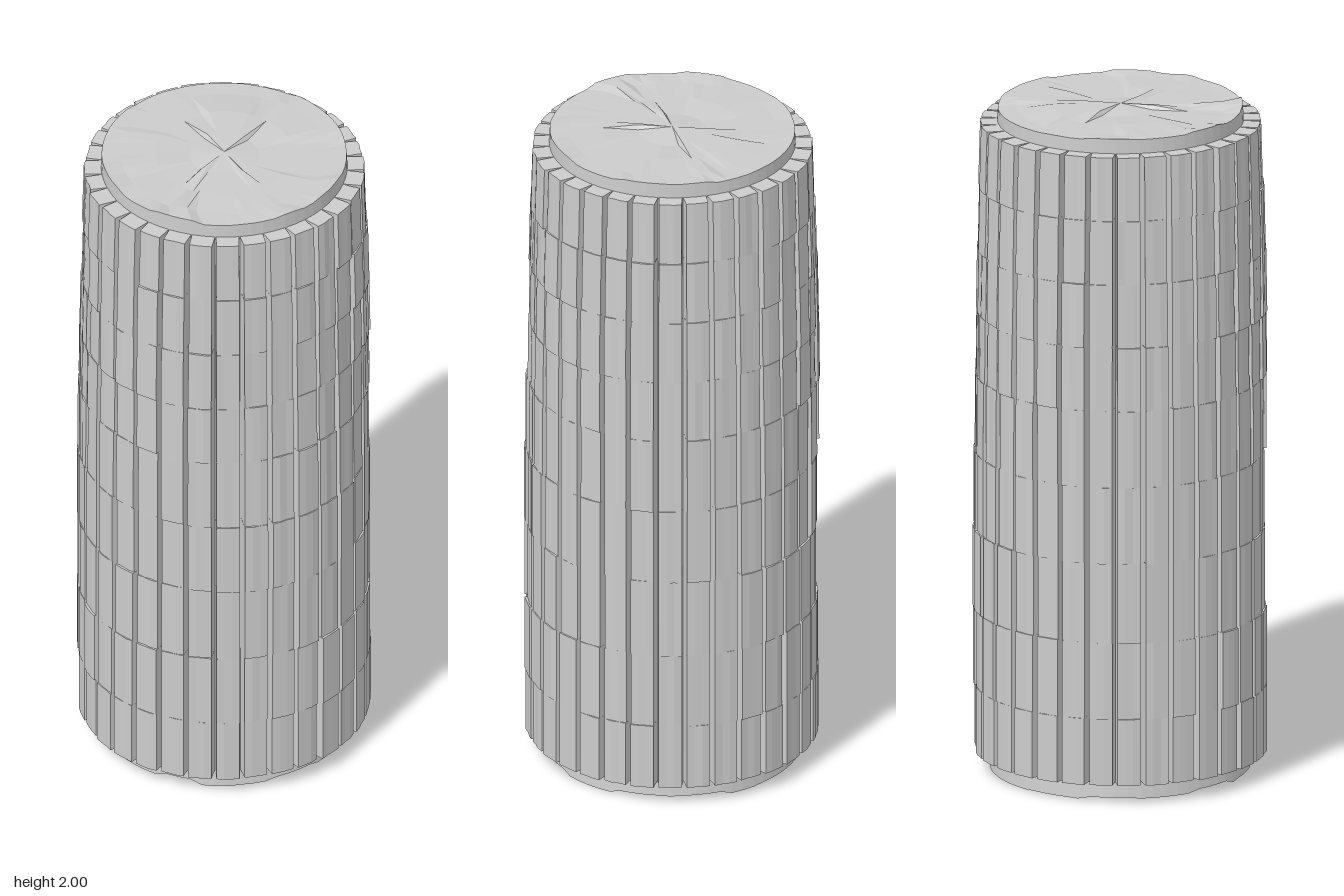
import * as THREE from 'three';
import { mergeGeometries } from 'three/addons/utils/BufferGeometryUtils.js';

const STAVES = 32;
const STEP = (Math.PI * 2) / STAVES;
const SEAMS = [0.06, 0.26, 0.49, 0.73, 0.96, 1.19, 1.38, 1.57, 1.76, 1.95];

// Repeatable value from 0 to 1 for a pair of numbers
function hash(a, b) {
  const s = Math.sin(a * 127.1 + b * 311.7 + 4.3) * 43758.5453;
  return s - Math.floor(s);
}

// The log tapers gently towards the top
const coreRadius = (y) => 0.378 - 0.011 * y;
const barkRadius = (y) => 0.422 - 0.016 * Math.pow(Math.max(0, (y - 0.9) / 1.05), 2);

// One bark block: a box bent into a wedge that narrows outwards, leaving a V groove
function barkBlock(stave, row) {
  const geo = new THREE.BoxGeometry(1, 1, 1, 3, 1, 1);
  const pos = geo.attributes.position;
  const y0 = SEAMS[row], y1 = SEAMS[row + 1];
  const middle = (stave + 0.5) * STEP;
  const swell = 0.004 * Math.sin(middle * 3 + row * 0.8) + 0.006 * (hash(stave, row) - 0.5);
  for (let i = 0; i < pos.count; i++) {
    const across = pos.getX(i);
    const y = pos.getY(i) > 0 ? y1 : y0;
    const outer = pos.getZ(i) > 0;
    const ridge = 0.004 * (hash(stave * 4 + Math.round(across * 3 + 1.5), row) - 0.5);
    const r = outer ? barkRadius(y) + swell + ridge : coreRadius(y) - 0.008;
    const a = middle + across * STEP * (outer ? 0.82 : 1);
    pos.setXYZ(i, Math.sin(a) * r, y, Math.cos(a) * r);
  }
  return geo;
}

// Solid wood core with slightly rough, split ends
function makeCore() {
  const profile = [
    [0, 0.012], [0.1, 0.012], [0.2, 0.012], [0.3, 0.012], [0.378, 0.012],
    [0.372, 0.06], [0.357, 1.95], [0.355, 1.993],
    [0.3, 1.993], [0.2, 1.993], [0.1, 1.993], [0, 1.993],
  ].map(([r, y]) => new THREE.Vector2(r, y));
  const geo = new THREE.LatheGeometry(profile, 64).toNonIndexed();
  const pos = geo.attributes.position;
  for (let i = 0; i < pos.count; i++) {
    const x = pos.getX(i), y = pos.getY(i), z = pos.getZ(i);
    if (y > 0.05 && y < 1.96) continue;
    const plank = hash(Math.round((x + z) * 6), Math.round((x - z) * 4)) - 0.5;
    const size = y < 1 ? 0.022 : 0.013;
    pos.setY(i, THREE.MathUtils.clamp(y + plank * size, 0, 2));
  }
  geo.computeVertexNormals();
  return geo;
}

export function createModel() {
  const log = new THREE.Group();
  log.name = 'log';
  const material = new THREE.MeshStandardMaterial({ color: 0xcccccc, flatShading: true });

  const core = new THREE.Mesh(makeCore(), material);
  core.name = 'woodCore';
  log.add(core);

  // Rings of bark, stacked from the bottom up
  for (let row = 0; row < SEAMS.length - 1; row++) {
    const blocks = [];
    for (let stave = 0; stave < STAVES; stave++) blocks.push(barkBlock(stave, row));
    const ring = new THREE.Mesh(mergeGeometries(blocks), material);
    ring.name = `barkRing${row + 1}`;
    log.add(ring);
  }
  return log;
}
